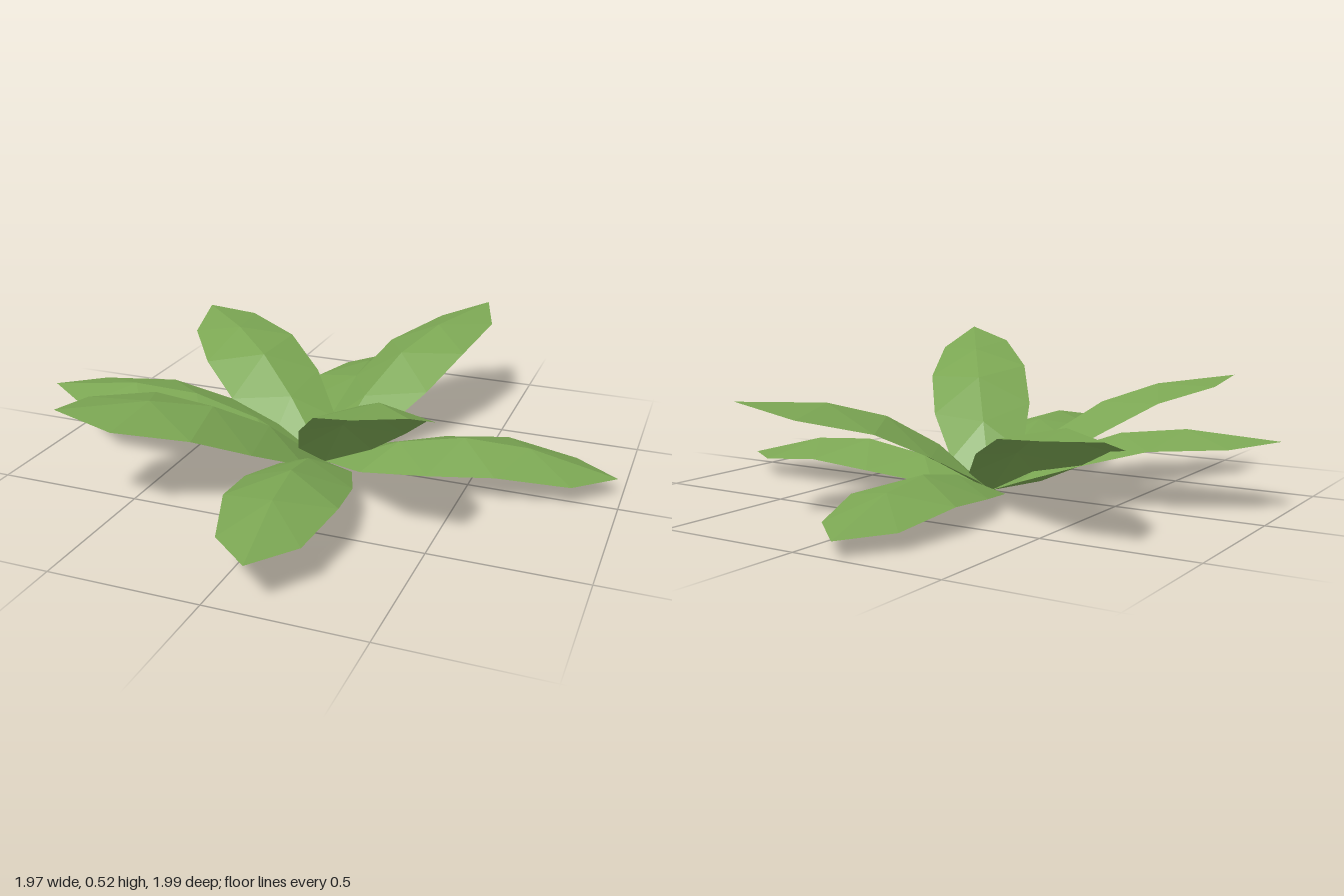
import * as THREE from 'three';

// Leaf outline: [half width, height, distance from the base]
const EDGE = [[0.128, 0.024, 0.16], [0.178, 0.047, 0.4], [0.18, 0.056, 0.625], [0.126, 0.014, 0.865]];
// Raised midrib: [height, distance], from base to tip
const RIB = [[0, 0], [0.09, 0.27], [0.118, 0.5], [0.092, 0.72], [0, 1.009]];

// One folded, arched leaf running along +z
function leafGeometry() {
  const pos = [];
  const rib = RIB.map(([y, z]) => [0, y, z]);
  for (const side of [1, -1]) {
    const edge = EDGE.map(([x, y, z]) => [x * side, y, z]);
    const tri = (a, b, c) => pos.push(...a, ...(side > 0 ? b : c), ...(side > 0 ? c : b));
    edge.forEach((e, i) => {
      tri(rib[i], rib[i + 1], e);
      if (i < edge.length - 1) tri(e, rib[i + 1], edge[i + 1]);
    });
  }
  const geo = new THREE.BufferGeometry();
  geo.setAttribute('position', new THREE.Float32BufferAttribute(pos, 3));
  geo.computeVertexNormals();
  return geo;
}

// Tip of each leaf (x, y, z) and its roll
const LEAVES = [
  [0.98, 0.06, -0.10, 0.02],
  [0.50, 0.52, 0.70, 0.13],
  [0.13, 0.145, 0.99, 0.02],
  [-0.64, 0.38, 0.71, 0.12],
  [-0.985, 0.23, 0.19, 0.03],
  [-0.76, 0.32, -0.61, 0.16],
  [-0.14, 0.05, -1.0, 0.02],
  [0.34, 0.38, -0.86, 0.1],
];

export function createModel() {
  const group = new THREE.Group();
  group.name = 'leafRosette';
  const green = new THREE.MeshStandardMaterial({ color: 0x7ba653, flatShading: true, side: THREE.DoubleSide });
  green.name = 'leafGreen';
  const geo = leafGeometry();
  const baseX = -0.02;

  // Leaves fan out from one point on the ground
  LEAVES.forEach(([x, y, z, roll], i) => {
    const dx = x - baseX;
    const leaf = new THREE.Mesh(geo, green);
    leaf.name = `leaf${i + 1}`;
    leaf.position.x = baseX;
    leaf.rotation.set(-Math.atan2(y, Math.hypot(dx, z)), Math.atan2(dx, z), -roll, 'YXZ');
    group.add(leaf);
  });
  return group;
}
